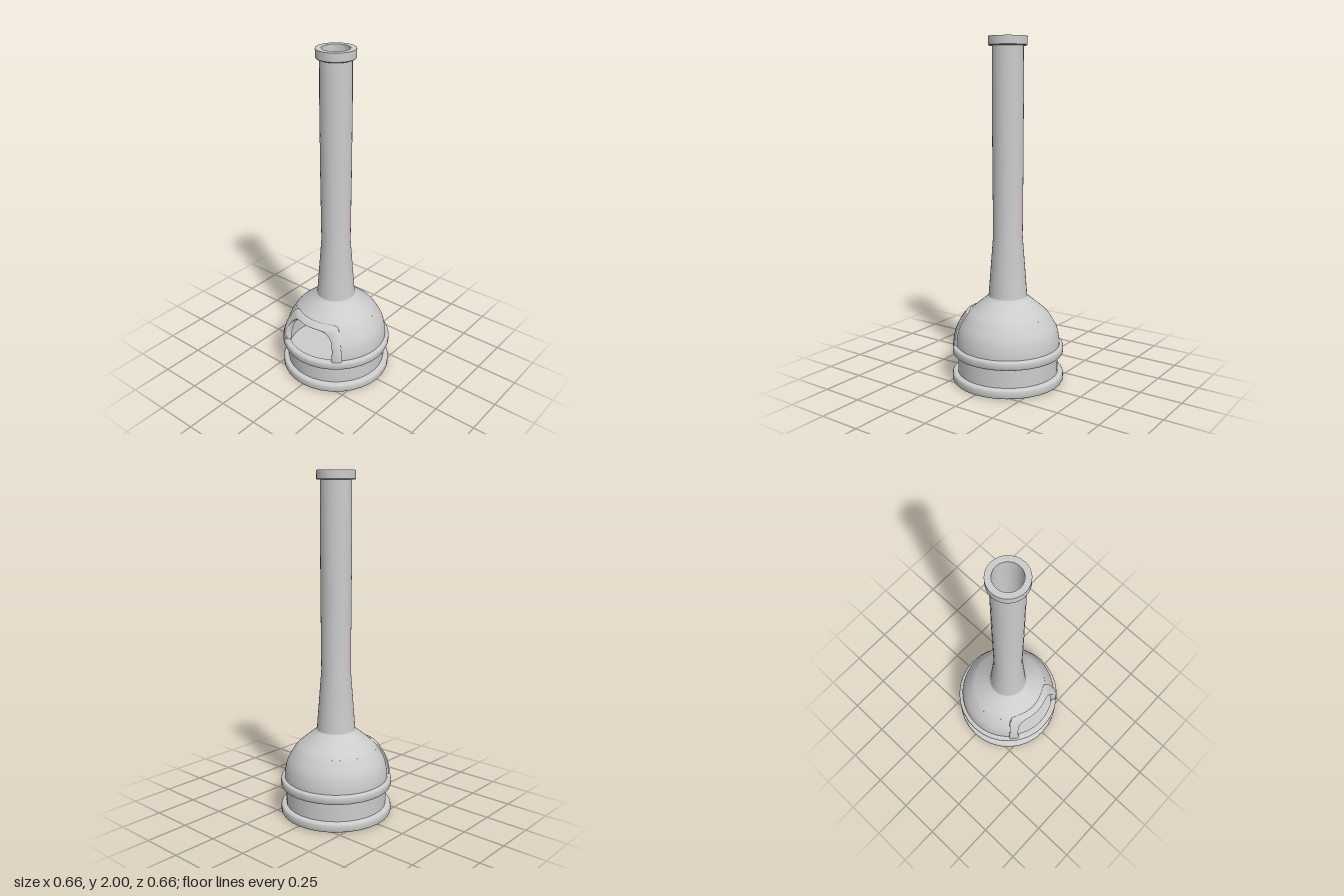
import * as THREE from 'three';
import { toCreasedNormals } from 'three/addons/utils/BufferGeometryUtils.js';

const V2 = (x, y) => new THREE.Vector2(x, y);
const material = new THREE.MeshStandardMaterial({ color: 0xcccccc, side: THREE.DoubleSide });
const SEG = 32;
const CUT = 0.4; // top of the door opening

// Piecewise curve lookup: value at height y from [value, y] pairs, smoothed
function lookup(pairs) {
  const pts = new THREE.SplineCurve(pairs.map(([v, y]) => V2(v, y))).getPoints(60);
  return (y) => {
    let i = 1;
    while (i < pts.length - 1 && pts[i].y < y) i++;
    const a = pts[i - 1], b = pts[i];
    const t = THREE.MathUtils.clamp((y - a.y) / (b.y - a.y || 1), 0, 1);
    return a.x + (b.x - a.x) * t;
  };
}
const domeRadius = lookup([[0.307, 0.215], [0.304, 0.26], [0.287, 0.325], [0.242, 0.4], [0.2, 0.44], [0.113, 0.512]]);
const doorHalf = lookup([[0.178, 0.215], [0.178, 0.28], [0.163, 0.335], [0.142, 0.37], [0.12, 0.4]]);

function mesh(name, geometry) {
  const m = new THREE.Mesh(geometry, material);
  m.name = name;
  return m;
}

function lathe(name, pairs, crease = 0.6) {
  const g = new THREE.LatheGeometry(pairs.map(([r, y]) => V2(r, y)), SEG);
  return mesh(name, toCreasedNormals(g, crease));
}

// Ring with softly rounded outer corners
function ring(name, y0, y1, R, inner) {
  const c = 0.012;
  return lathe(name, [
    [inner, y0], [R - c, y0], [R - c * 0.3, y0 + c * 0.3], [R, y0 + c],
    [R, y1 - c], [R - c * 0.3, y1 - c * 0.3], [R - c, y1], [inner, y1],
  ], 0.9);
}

// Band of the dome between two heights, leaving out the doorway if asked
function domeBand(name, y0, y1, offset, withDoor) {
  const rows = 12, cols = 64, pos = [], nor = [], idx = [];
  const sign = offset < 0 ? -1 : 1;
  for (let j = 0; j <= rows; j++) {
    const y = y0 + ((y1 - y0) * j) / rows, R = domeRadius(y);
    const a0 = withDoor ? Math.asin(doorHalf(y) / R) : 0;
    const slope = (domeRadius(y + 0.012) - domeRadius(y - 0.012)) / 0.024;
    for (let i = 0; i <= cols; i++) {
      const a = a0 + ((2 * Math.PI - 2 * a0) * i) / cols;
      const s = Math.sin(a), c = Math.cos(a);
      pos.push((R + offset) * s, y, (R + offset) * c);
      const n = new THREE.Vector3(s, -slope, c).normalize().multiplyScalar(sign);
      nor.push(n.x, n.y, n.z);
      if (i < cols && j < rows) {
        const p = j * (cols + 1) + i, q = p + cols + 1;
        if (sign > 0) idx.push(p, p + 1, q, q, p + 1, q + 1);
        else idx.push(p, q, p + 1, q, q + 1, p + 1);
      }
    }
  }
  const g = new THREE.BufferGeometry();
  g.setAttribute('position', new THREE.Float32BufferAttribute(pos, 3));
  g.setAttribute('normal', new THREE.Float32BufferAttribute(nor, 3));
  g.setIndex(idx);
  return mesh(name, g);
}

// Raised band around the doorway, wrapped onto the dome
function doorFrame() {
  const mirrored = (half) => {
    const pts = half.map(([x, y]) => V2(x, y));
    const left = half.slice(0, -1).reverse().map(([x, y]) => V2(-x, y));
    return new THREE.SplineCurve([...pts, ...left]);
  };
  const outer = mirrored([[0.22, 0.215], [0.212, 0.28], [0.19, 0.355], [0.165, 0.398], [0.13, 0.417], [0, 0.42]]);
  const inner = mirrored([[0.17, 0.215], [0.17, 0.28], [0.155, 0.335], [0.125, 0.37], [0.085, 0.388], [0, 0.39]]);
  // Cross-section: [blend from inner to outer edge, offset from the dome]
  const section = [[0, -0.02], [0, 0.01], [0.15, 0.017], [0.85, 0.017], [1, 0.01], [1, -0.02]];
  const steps = 60, n = section.length, pos = [], idx = [];
  for (let k = 0; k <= steps; k++) {
    const a = inner.getPoint(k / steps), b = outer.getPoint(k / steps);
    for (const [t, off] of section) {
      const x = a.x + (b.x - a.x) * t, y = a.y + (b.y - a.y) * t;
      const R = domeRadius(y), ang = Math.asin(x / R);
      pos.push((R + off) * Math.sin(ang), y, (R + off) * Math.cos(ang));
    }
    if (k < steps) {
      for (let i = 0; i < n; i++) {
        const p = k * n + i, q = k * n + ((i + 1) % n);
        idx.push(p, q, p + n, q, q + n, p + n);
      }
    }
  }
  const g = new THREE.BufferGeometry();
  g.setAttribute('position', new THREE.Float32BufferAttribute(pos, 3));
  g.setIndex(idx);
  return mesh('doorFrame', toCreasedNormals(g, 0.9));
}

export function createModel() {
  const model = new THREE.Group();
  model.name = 'chimineaStove';

  // Base: foot ring, hollow drum with floor, upper ring
  model.add(ring('footRing', 0, 0.055, 0.33, 0));
  model.add(lathe('drum', [[0.298, 0.05], [0.298, 0.175]]));
  model.add(lathe('drumLining', [[0.296, 0.22], [0.296, 0.1], [0, 0.1]]));
  model.add(ring('upperRing', 0.167, 0.22, 0.33, 0.296));

  // Domed firebox: outer and inner skins, open at the front
  const firebox = new THREE.Group();
  firebox.name = 'firebox';
  for (const [label, offset] of [['Outer', 0], ['Inner', -0.014]]) {
    firebox.add(domeBand('lowerDome' + label, 0.215, CUT, offset, true));
    firebox.add(domeBand('upperDome' + label, CUT, 0.512, offset, false));
  }
  firebox.add(doorFrame());
  model.add(firebox);

  // Flue: flared foot, long pipe, open bore
  model.add(lathe('flue', [
    [0.114, 0.51], [0.086, 0.87], [0.089, 1.3], [0.09, 1.75], [0.088, 1.95],
  ]));
  model.add(lathe('flueBore', [[0.077, 1.99], [0.077, 0.51], [0.1, 0.51]]));

  // Collar at the mouth of the flue
  model.add(lathe('flueCollar', [
    [0.085, 1.948], [0.106, 1.948], [0.11, 1.953], [0.11, 2], [0.077, 2], [0.077, 1.948],
  ]));
  return model;
}
